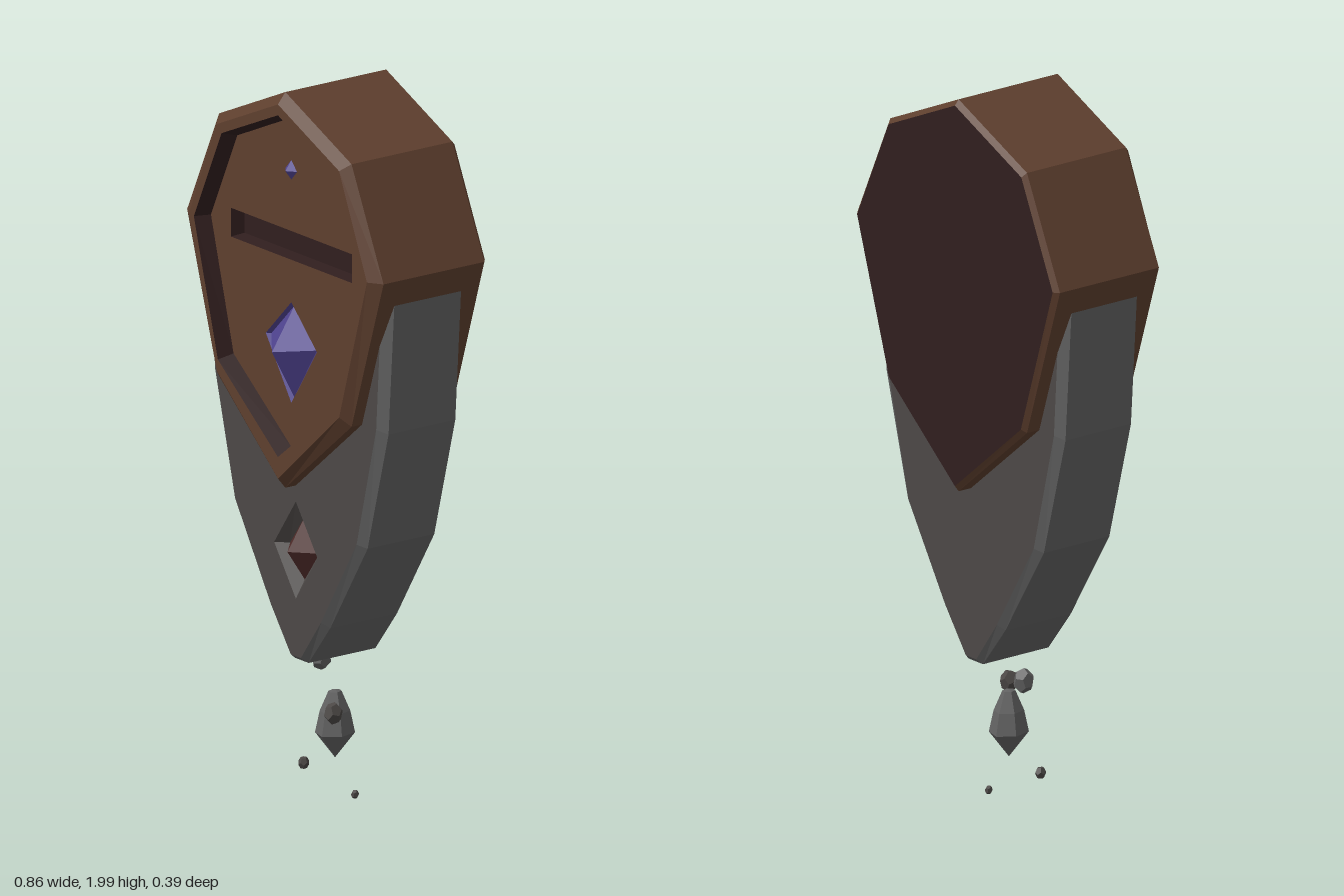
import * as THREE from 'three';

const mat = (name, color, extra) => {
  const m = new THREE.MeshStandardMaterial({ color });
  m.name = name;
  return m;
};

// Full outline, counter-clockwise from +z, from its +x half listed top to bottom
const mirror = (half) => [
  ...half.map(([x, y]) => [-x, y]),
  ...half.filter(([x]) => x > 0).reverse(),
];
const diamond = (w, top, mid, bottom) => mirror([[0, top], [w, mid], [0, bottom]]);
const point = (y, n = 4) => Array.from({ length: n }, () => [0, y]);

// Faceted skin through a list of [outline, z] rings
function loft(rings) {
  const pos = [];
  for (let r = 0; r + 1 < rings.length; r++) {
    const [a, za] = rings[r], [b, zb] = rings[r + 1];
    for (let i = 0; i < a.length; i++) {
      const j = (i + 1) % a.length;
      const p = [...a[i], za], q = [...a[j], za], s = [...b[j], zb], t = [...b[i], zb];
      pos.push(...p, ...q, ...s, ...p, ...s, ...t);
    }
  }
  const g = new THREE.BufferGeometry();
  g.setAttribute('position', new THREE.Float32BufferAttribute(pos, 3));
  g.computeVertexNormals();
  return g;
}

// Flat plate facing +z, or -z when back is set
function plate(outline, z, holes = [], back = false) {
  const vec = (o) => o.map(([x, y]) => new THREE.Vector2(back ? -x : x, y));
  const shape = new THREE.Shape(vec(outline));
  holes.forEach((h) => shape.holes.push(new THREE.Path(vec(h))));
  const g = new THREE.ShapeGeometry(shape);
  if (back) g.rotateY(Math.PI);
  return g.translate(0, 0, z);
}

export function createModel() {
  const model = new THREE.Group();
  model.name = 'floatingMaskedHead';
  const wood = mat('brown wood', 0x5e3f2e);
  const darkWood = mat('dark brown', 0x301e1e);
  const stone = mat('grey stone', 0x626262);
  const darkStone = mat('dark warm stone', 0x4c4846);
  const violet = mat('violet gem', 0x4f4390);
  const red = mat('dark red gem', 0x4e2a28);

  const add = (name, geometry, material, parent = model) => {
    const m = new THREE.Mesh(geometry, material);
    m.name = name;
    parent.add(m);
    return m;
  };

  // Mask shell: back bevel, side wall, front bevel and flat rim
  const outer = mirror([[0, 2], [0.29, 1.87], [0.43, 1.57], [0.29, 1.14], [0, 0.9]]);
  const backRim = mirror([[0, 1.985], [0.282, 1.858], [0.415, 1.57], [0.28, 1.15], [0, 0.917]]);
  const frontRim = mirror([[0, 1.97], [0.268, 1.85], [0.39, 1.57], [0.268, 1.165], [0, 0.93]]);
  const inner = mirror([[0, 1.94], [0.247, 1.83], [0.368, 1.57], [0.263, 1.197], [0, 0.99]]);
  const floor = mirror([[0, 1.925], [0.237, 1.818], [0.352, 1.57], [0.253, 1.208], [0, 1.01]]);
  const faceZ = 0.13;
  const mask = new THREE.Group();
  mask.name = 'mask';
  model.add(mask);
  add('maskShell', loft([[backRim, -0.2], [outer, -0.187], [outer, 0.15], [frontRim, 0.175], [inner, 0.175]]), wood, mask);
  add('maskBack', plate(backRim, -0.2, [], true), darkWood, mask);
  add('maskRecessWall', loft([[inner, 0.175], [floor, faceZ]]), darkWood, mask);

  // Face plate with openings for the visor slot and the large gem
  const slot = mirror([[0.265, 1.61], [0.265, 1.53]]);
  const slotFloor = mirror([[0.257, 1.602], [0.257, 1.535]]);
  const socket = diamond(0.112, 1.412, 1.3, 1.132);
  const gemBase = diamond(0.1, 1.4, 1.3, 1.146);
  add('facePlate', plate(floor, faceZ, [slot, socket]), wood, mask);
  add('visorSlotWall', loft([[slot, faceZ], [slotFloor, 0.09]]), darkWood, mask);
  add('visorSlotFloor', plate(slotFloor, 0.09), darkWood, mask);

  // Violet gems on the face
  add('largeGem', loft([[socket, faceZ], [gemBase, 0.12], [point(1.285), 0.195]]), violet, mask);
  add('smallGem', loft([[diamond(0.025, 1.807, 1.78, 1.753), faceZ], [point(1.78), 0.15]]), violet, mask);

  // Stone body tapering to a narrow tip, with chamfered edges
  const side = mirror([[0.407, 1.52], [0.38, 1.13], [0.288, 0.79], [0.125, 0.53], [0.03, 0.41]]);
  const edge = mirror([[0.375, 1.505], [0.352, 1.14], [0.266, 0.8], [0.11, 0.545], [0.022, 0.425]]);
  const niche = diamond(0.095, 0.855, 0.72, 0.585);
  const nicheFloor = diamond(0.064, 0.807, 0.72, 0.633);
  const body = new THREE.Group();
  body.name = 'stoneBody';
  model.add(body);
  add('bodySides', loft([[edge, -0.145], [side, -0.128], [side, 0.095], [edge, 0.115]]), stone, body);
  add('bodyFront', plate(edge, 0.115, [niche]), darkStone, body);
  add('bodyBack', plate(edge, -0.145, [], true), darkStone, body);

  // Diamond niche holding a dark red gem
  add('nicheWall', loft([[niche, 0.115], [nicheFloor, 0.085]]), darkStone, body);
  add('redGem', loft([[nicheFloor, 0.085], [point(0.72), 0.143]]), red, body);

  // Large floating shard below the tip
  const rock = (geometry) => {
    const g = geometry.toNonIndexed();
    g.computeVertexNormals();
    return g;
  };
  const profile = [[0, 0.12], [0.055, 0.19], [0.042, 0.25], [0.018, 0.305], [0, 0.31]];
  const shard = rock(new THREE.LatheGeometry(profile.map(([x, y]) => new THREE.Vector2(x, y)), 6));
  shard.rotateY(0.3).scale(0.88, 1, 1.04);
  add('largeShard', shard, stone).position.set(0, 0, -0.016);

  // Small floating chips: x, y, z, radius, material
  [
    [-0.105, 0.367, -0.05, 0.033, stone],
    [0.108, 0.285, 0.072, 0.029, darkStone],
    [-0.09, 0.09, 0.02, 0.017, darkStone],
    [0.043, 0.0215, -0.05, 0.012, darkStone],
  ].forEach(([x, y, z, r, material], i) => {
    const g = rock(new THREE.DodecahedronGeometry(r, 0));
    g.rotateZ(i * 0.9 + 0.4).rotateY(i * 1.3).scale(0.8, 1.08, 0.95);
    g.computeVertexNormals();
    add('smallChip', g, material).position.set(x, y, z);
  });

  return model;
}
